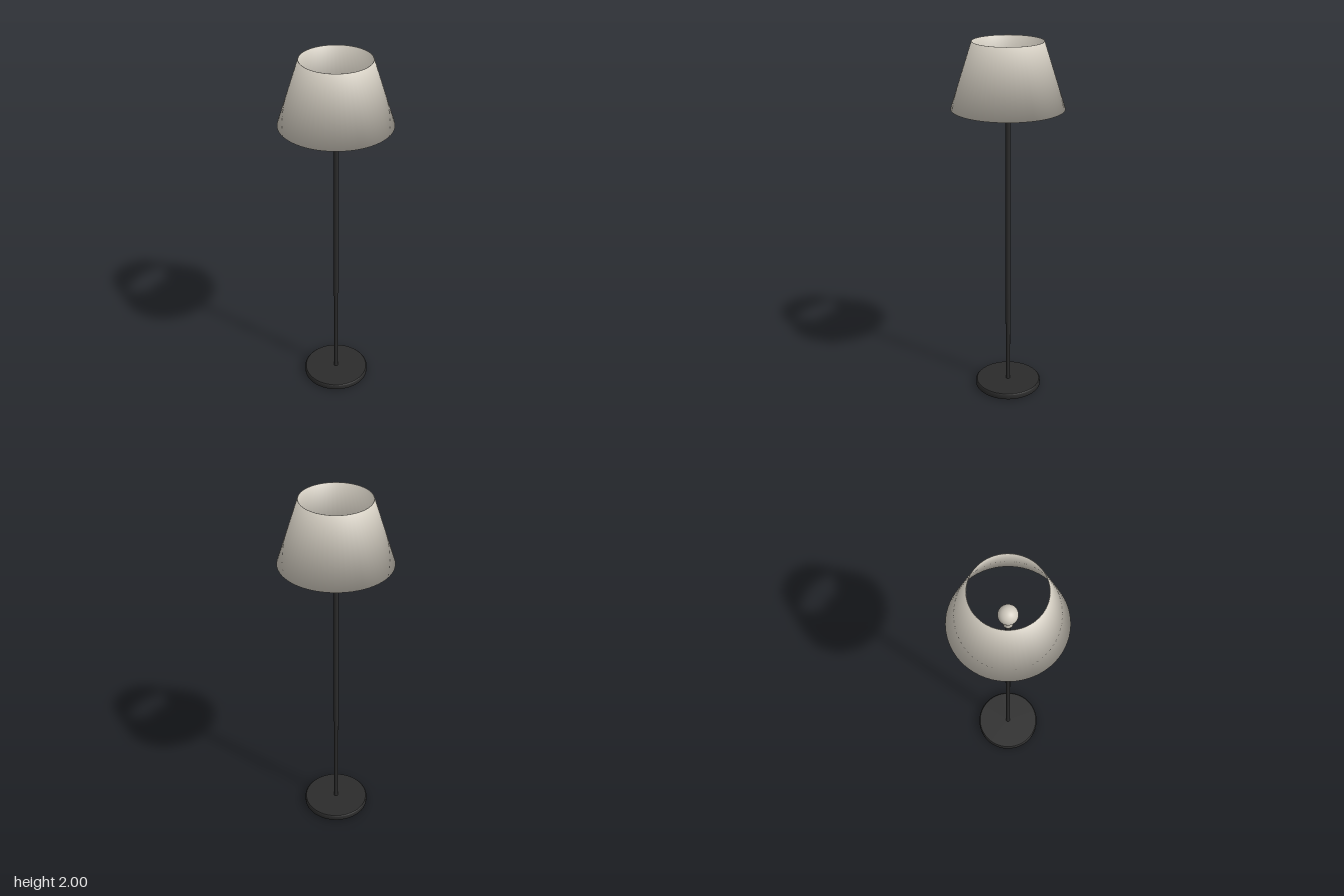
import * as THREE from 'three';

const SEGMENTS = 64;

const charcoal = new THREE.MeshStandardMaterial({ color: 0x2b2b2b });
charcoal.name = 'charcoal metal';
const linen = new THREE.MeshStandardMaterial({ color: 0xd2ccc0 });
linen.name = 'warm linen';

function lathe(points) {
  return new THREE.LatheGeometry(points.map(([r, y]) => new THREE.Vector2(r, y)), SEGMENTS);
}

// Thin conical shell with soft normals: each corner blends its wall and its rim
function shadeGeometry(bottomR, topR, bottomY, topY, wall) {
  const geometry = lathe([
    [bottomR, bottomY], [topR, topY],
    [topR - wall, topY], [bottomR - wall, bottomY], [bottomR, bottomY],
  ]);
  const slope = new THREE.Vector2(topY - bottomY, bottomR - topR).normalize();
  const corners = [[1, -1], [1, 1], [-1, 1], [-1, -1], [1, -1]].map(([side, rim]) =>
    new THREE.Vector2(side * slope.x, side * slope.y + rim).normalize());
  const normal = geometry.attributes.normal;
  for (let i = 0; i < normal.count; i++) {
    const n = corners[i % corners.length];
    const phi = Math.floor(i / corners.length) / SEGMENTS * Math.PI * 2;
    normal.setXYZ(i, n.x * Math.sin(phi), n.y, n.x * Math.cos(phi));
  }
  return geometry;
}

export function createModel() {
  const lamp = new THREE.Group();
  lamp.name = 'floorLamp';

  const add = (name, geometry, material, y = 0) => {
    const mesh = new THREE.Mesh(geometry, material);
    mesh.name = name;
    mesh.position.y = y;
    lamp.add(mesh);
  };

  // Round weighted foot with slightly eased edges
  add('base', lathe([
    [0, 0], [0.181, 0], [0.181, 0], [0.187, 0.006],
    [0.187, 0.029], [0.181, 0.035], [0.181, 0.035], [0, 0.035],
  ]), charcoal);

  // Upright pole
  add('pole', new THREE.CylinderGeometry(0.013, 0.013, 1.61, 32), charcoal, 0.835);

  // Bulb holder and bulb
  add('socket', new THREE.CylinderGeometry(0.024, 0.024, 0.06, 32), linen, 1.664);
  add('bulb', new THREE.SphereGeometry(0.05, 32, 24), linen, 1.743);

  // Open tapered shade
  add('shade', shadeGeometry(0.3, 0.187, 1.652, 2, 0.003), linen);

  return lamp;
}
